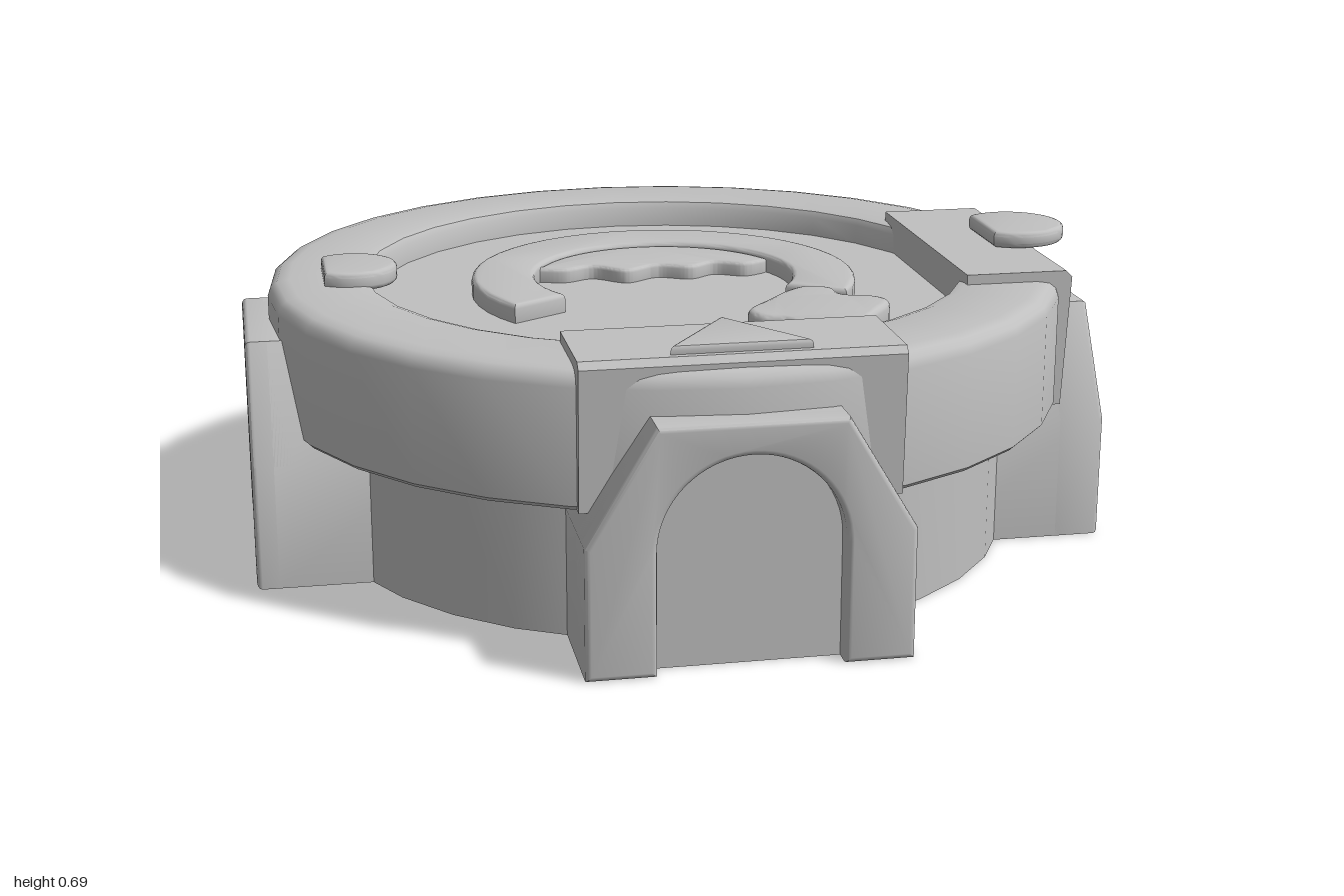
import * as THREE from 'three';
import { toCreasedNormals } from 'three/addons/utils/BufferGeometryUtils.js';

const stone = new THREE.MeshStandardMaterial({ color: 0xc0c0c0 });
stone.name = 'light grey';

const V = (x, y) => new THREE.Vector2(x, y);

function add(parent, name, geometry) {
  const mesh = new THREE.Mesh(toCreasedNormals(geometry, 0.6), stone);
  mesh.name = name;
  parent.add(mesh);
  return mesh;
}

// Extrusion along z between two depths, with an inset rounded bevel
function extrude(shape, z0, z1, bevel = 0) {
  const g = new THREE.ExtrudeGeometry(shape, {
    depth: z1 - z0 - 2 * bevel, bevelEnabled: bevel > 0, bevelThickness: bevel,
    bevelSize: bevel, bevelOffset: -bevel, bevelSegments: 3, curveSegments: 16,
  });
  return g.translate(0, 0, z0 + bevel);
}

// Horizontal plate: shape (x, -z) standing from y0 to y1
const plate = (shape, y0, y1, bevel) => extrude(shape, y0, y1, bevel).rotateX(-Math.PI / 2);

// Smooth closed outline through [x, z] points
function blob(points) {
  const curve = new THREE.CatmullRomCurve3(
    points.map(([x, z]) => new THREE.Vector3(x, -z, 0)), true, 'centripetal');
  return new THREE.Shape(curve.getPoints(72).slice(0, -1).reverse().map((p) => V(p.x, p.y)));
}

// Teardrop with its tip towards -x
function teardrop(r, tip) {
  const a = Math.PI - Math.acos(r / tip);
  const s = new THREE.Shape();
  s.moveTo(-tip, 0);
  s.absarc(0, 0, r, -a, a, false);
  s.closePath();
  return s;
}

// Arched buttress facing +z
function addFoot(parent, name, angle) {
  const foot = new THREE.Group();
  foot.name = name;
  foot.rotation.y = angle;
  parent.add(foot);
  const outline = [V(0.35, 0), V(0.35, 0.29), V(0.2, 0.54), V(-0.2, 0.54), V(-0.35, 0.29), V(-0.35, 0)];
  add(foot, 'footBody', extrude(new THREE.Shape(outline), 0.6, 0.95));
  const frame = new THREE.Shape();
  frame.moveTo(0.2, 0);
  outline.forEach((p) => frame.lineTo(p.x, p.y));
  frame.lineTo(-0.2, 0);
  frame.lineTo(-0.2, 0.27);
  frame.absarc(0, 0.27, 0.2, Math.PI, 0, true);
  frame.closePath();
  add(foot, 'archFrame', extrude(frame, 0.88, 1.0, 0.012));
}

// Block wrapping the rim, facing +z
function addRimBlock(parent, name, angle) {
  const s = new THREE.Shape([V(0.65, 0.33), V(0.89, 0.33), V(0.905, 0.64), V(0.89, 0.655), V(0.65, 0.655)]);
  const g = extrude(s, -0.345, 0.345).rotateY(-Math.PI / 2);
  add(parent, name, g).rotation.y = angle;
}

export function createModel() {
  const model = new THREE.Group();
  model.name = 'roundPedestal';
  const body = new THREE.Group();
  body.name = 'body';
  body.position.z = -0.03;
  model.add(body);

  // Base drum
  add(body, 'baseDrum', new THREE.LatheGeometry(
    [V(0, 0), V(0.82, 0), V(0.82, 0.34)], 32));

  // Overhanging rim with a recessed floor
  add(body, 'rimAndFloor', new THREE.LatheGeometry([
    V(0.78, 0.33), V(0.93, 0.33), V(0.94, 0.34), V(0.94, 0.595), V(0.933, 0.615),
    V(0.918, 0.627), V(0.89, 0.632), V(0.73, 0.632), V(0.712, 0.627), V(0.703, 0.612),
    V(0.7, 0.565), V(0, 0.565),
  ], 32));

  // Buttresses on the front and both sides
  addFoot(body, 'frontFoot', 0);
  addFoot(body, 'leftFoot', Math.PI / 2);
  addFoot(body, 'rightFoot', -Math.PI / 2);
  addRimBlock(body, 'frontRimBlock', 0);
  addRimBlock(body, 'leftRimBlock', Math.PI / 2);

  // Open ring on the floor
  const gap = 0.56;
  const arc = new THREE.Shape();
  arc.absarc(0, 0, 0.46, -gap, Math.PI + gap, false);
  arc.absarc(0, 0, 0.31, Math.PI + gap, -gap, true);
  arc.closePath();
  add(body, 'openRing', plate(arc, 0.55, 0.61, 0.012));

  // Domed cap with a wavy lower edge inside the ring
  const cap = new THREE.Shape();
  cap.absarc(0, 0, 0.312, 0.42, Math.PI - 0.42, false);
  cap.splineThru([[-0.22, 0.11], [-0.15, 0.135], [-0.075, 0.08], [0.005, 0.12],
    [0.085, 0.09], [0.15, 0.125], [0.22, 0.095], [0.27, 0.115]].map(([x, y]) => V(x, y)));
  cap.closePath();
  add(body, 'wavyCap', plate(cap, 0.55, 0.6, 0.01));

  // Lobed patch beside the ring
  add(model, 'lobedPatch', plate(blob([
    [0.25, 0.22], [0.3, 0.195], [0.35, 0.22], [0.362, 0.285], [0.43, 0.315], [0.452, 0.36],
    [0.39, 0.46], [0.33, 0.55], [0.26, 0.588], [0.19, 0.55], [0.183, 0.475],
    [0.13, 0.44], [0.115, 0.385], [0.18, 0.3],
  ]), 0.55, 0.62, 0.015));

  // Markers on the rim
  const rightDrop = add(model, 'rightTeardrop', plate(teardrop(0.108, 0.178), 0.62, 0.664, 0.012));
  rightDrop.position.set(-0.745, 0, -0.035);
  const leftDrop = add(model, 'leftTeardrop', plate(teardrop(0.125, 0.2), 0.655, 0.695, 0.012));
  leftDrop.position.set(0.875, 0, -0.035);
  const triangle = new THREE.Shape([V(-0.15, -0.845), V(0.15, -0.845), V(0, -0.63)]);
  add(model, 'frontTriangle', plate(triangle, 0.645, 0.674, 0.01));

  return model;
}
